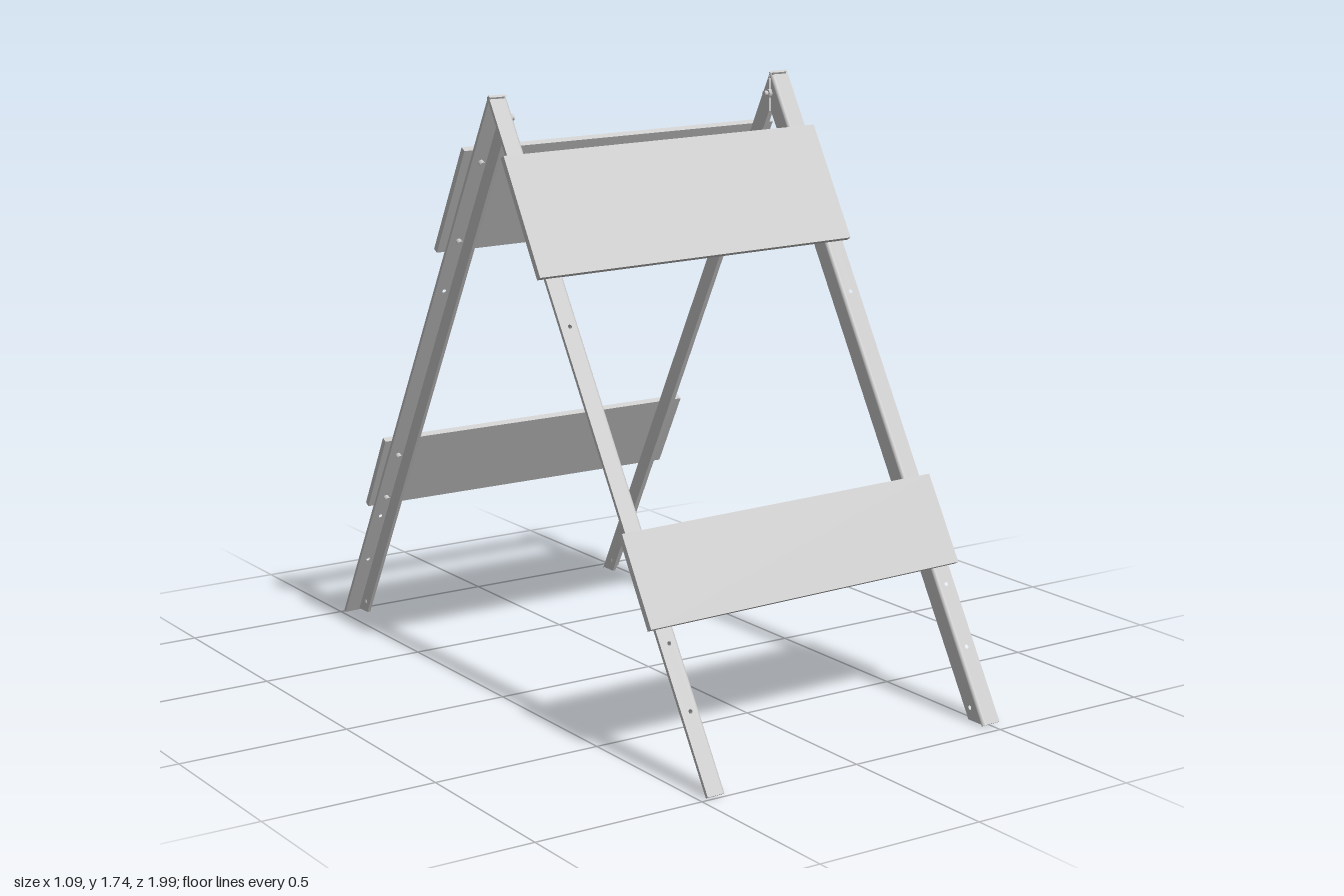
import * as THREE from 'three';

const mat = new THREE.MeshStandardMaterial({ color: 0xcccccc });
const W = 0.057;   // flange width of the angle-section legs
const T = 0.01;    // flange thickness
const BOARD = 0.018;

function add(parent, geometry, name) {
  const mesh = new THREE.Mesh(geometry, mat);
  mesh.name = name;
  parent.add(mesh);
  return mesh;
}

function shapeOf(points, holes, radius = 0.006) {
  const shape = new THREE.Shape(points.map(([x, y]) => new THREE.Vector2(x, y)));
  for (const [x, y] of holes) shape.holes.push(new THREE.Path().absarc(x, y, radius, 0, Math.PI * 2, true));
  return shape;
}

const plate = (shape) => new THREE.ExtrudeGeometry(shape, { depth: T, bevelEnabled: false, curveSegments: 5 });

// One angle-section leg: outer flange on the slope, side flange on the inner edge.
// x, h: top of the leg; spread: how far out the foot stands; shift: sideways drift of the foot.
function makeLeg({ x, h, spread, shift }) {
  const leg = new THREE.Group();
  leg.name = 'leg';
  const drop = h - 0.005;
  const a = Math.atan2(spread, drop);
  const len = Math.hypot(spread, drop);
  const side = Math.sign(x);
  const inner = -side * W / 2;
  const down = (y) => -(h - y) / Math.cos(a);

  // outer flange with drilled holes
  const x0 = inner + side * T, x1 = inner + side * W;
  const front = plate(shapeOf([[x0, 0], [x1, 0], [x1, -len], [x0, -len]],
    [1.13, 0.36, 0.2].map((y) => [0, down(y)])));
  add(leg, front.translate(0, 0, -T), 'outerFlange');

  // side flange, cut upright at the ridge and level at the foot
  const cut = (t) => [[-t, -t / Math.tan(a)], [-t, -len + t * Math.tan(a)]];
  const [topOut, footOut] = cut(T), [topIn, footIn] = cut(W);
  const flange = plate(shapeOf([topOut, footOut, footIn, topIn], [[-0.035, -len + 0.06]]));
  flange.rotateY(-Math.PI / 2).translate(side > 0 ? inner + T : inner, 0, 0);
  add(leg, flange, 'sideFlange');

  // rounded corner joining the flanges
  const corner = new THREE.CylinderGeometry(T, T, len, 5, 1, false, side > 0 ? -Math.PI / 2 : 0, Math.PI / 2);
  add(leg, corner.translate(x0, -len / 2, -T), 'roundedCorner');

  // nuts holding the boards
  for (const y of [1.53, 1.29, 0.58, 0.43]) {
    const nut = new THREE.CylinderGeometry(0.008, 0.008, 0.014, 6).rotateX(Math.PI / 2);
    add(leg, nut.translate(0, down(y), -T - 0.007), 'boardNut');
  }

  leg.position.set(x, h, 0);
  leg.rotation.set(-a, 0, Math.atan2(shift, len));
  return leg;
}

// A board lying on the outer faces of both legs; ends are [x, y] of its end centres.
function makeBoard(legs, ends, height, name) {
  const [p, q] = ends.map(([x, y], i) => {
    const z = legs.map((l) => l.spread * (l.h - y) / (l.h - 0.005));
    const k = (x - legs[0].x) / (legs[1].x - legs[0].x);
    return new THREE.Vector3(x, y, THREE.MathUtils.lerp(z[0], z[1], k));
  });
  const l = legs[0], r = legs[1];
  const along = q.clone().sub(p);
  const length = along.length();
  along.normalize();
  const slope = new THREE.Vector3(0, l.h + r.h, -(l.spread + r.spread));
  const normal = along.clone().cross(slope).normalize();
  const up = normal.clone().cross(along);
  const geo = new THREE.BoxGeometry(length, height, BOARD).translate(0, 0, BOARD / 2);
  geo.applyMatrix4(new THREE.Matrix4().makeBasis(along, up, normal).setPosition(p.add(q).multiplyScalar(0.5)));
  const mesh = new THREE.Mesh(geo, mat);
  mesh.name = name;
  return mesh;
}

function makeFrame(name, legs, upper, lower) {
  const frame = new THREE.Group();
  frame.name = name;
  for (const l of legs) frame.add(makeLeg(l));
  frame.add(makeBoard(legs, upper, 0.355, 'upperBoard'));
  frame.add(makeBoard(legs, lower, 0.263, 'lowerBoard'));
  return frame;
}

export function createModel() {
  const model = new THREE.Group();
  model.name = 'foldingBarricade';

  const front = makeFrame('frontFrame',
    [{ x: -0.495, h: 1.72, spread: 0.995, shift: 0.045 }, { x: 0.455, h: 1.735, spread: 0.962, shift: 0.047 }],
    [[-0.54, 1.405], [0.51, 1.42]],
    [[-0.515, 0.51], [0.54, 0.52]]);

  // the back frame is turned round, so its x values run the other way
  const back = makeFrame('backFrame',
    [{ x: -0.448, h: 1.735, spread: 0.965, shift: -0.037 }, { x: 0.495, h: 1.72, spread: 0.998, shift: -0.035 }],
    [[-0.503, 1.42], [0.543, 1.405]],
    [[-0.532, 0.52], [0.518, 0.51]]);
  back.rotation.y = Math.PI;
  model.add(front, back);

  // hinge bolts at the ridge, with a head on the inner side
  for (const [x, y, side] of [[-0.4675, 1.655, -1], [0.425, 1.67, 1]]) {
    const hinge = new THREE.Group();
    hinge.name = 'hingeBolt';
    add(hinge, new THREE.CylinderGeometry(0.008, 0.008, 0.045, 10).rotateZ(Math.PI / 2), 'boltShank');
    const head = new THREE.CylinderGeometry(0.014, 0.014, 0.01, 6).rotateZ(Math.PI / 2);
    add(hinge, head.translate(-side * 0.006, 0, 0), 'boltHead');
    hinge.position.set(x, y, 0);
    model.add(hinge);
  }
  return model;
}
